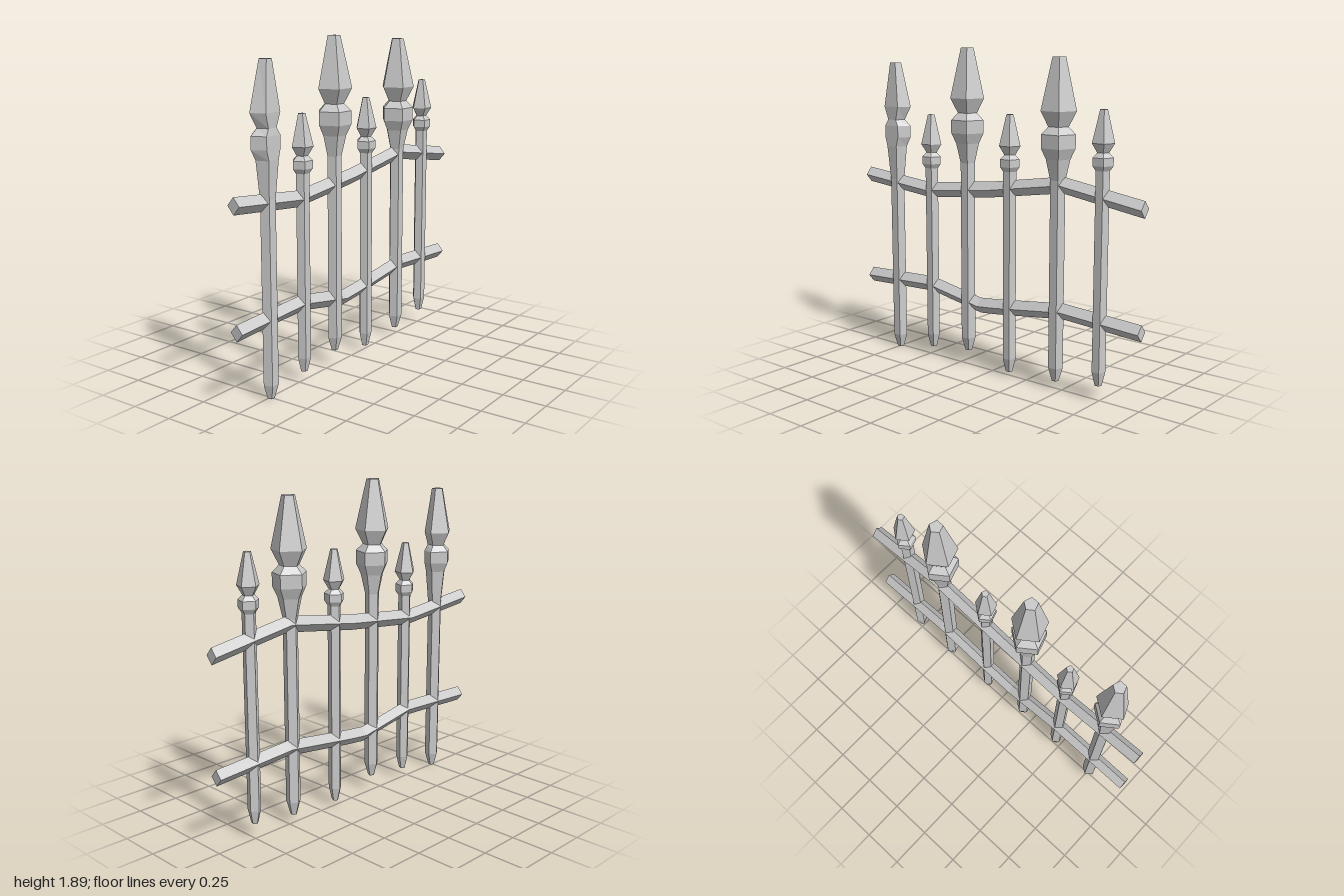
import * as THREE from 'three';

const material = new THREE.MeshStandardMaterial({ color: 0xcccccc, flatShading: true });
const SIDE = Math.sin(Math.PI * 0.4); // half-width of a unit pentagon

// Profiles: [half-width, distance below the top], listed upwards from the shaft
const tallHead = [[0.041, 0.66], [0.066, 0.545], [0.093, 0.485], [0.093, 0.41], [0.055, 0.37], [0.097, 0.285], [0.036, 0]];
const smallHead = [[0.037, 0.32], [0.055, 0.293], [0.055, 0.25], [0.031, 0.225], [0.06, 0.175], [0.02, 0]];

// Five-sided picket: pointed foot, straight shaft, turned bead and spearhead
function picket({ name, x, bottom, top, head, scale = 1, frontLimit = Infinity }) {
  const shaft = head[0][0];
  const profile = [
    [0, bottom], [0.019, bottom], [shaft, bottom + 0.08],
    ...head.map(([w, d], i) => [i === 0 ? w : w * scale, top - d * (i === 0 ? 1.06 / scale - 0.06 : scale)]),
    [0, top],
  ];
  const points = profile.map(([w, y]) => new THREE.Vector2(w / SIDE, y));
  const geometry = new THREE.LatheGeometry(points, 5, Math.PI);
  geometry.translate(x, 0, 0.008);
  // Flatten the front of a picket that is worn down
  const p = geometry.attributes.position;
  for (let i = 0; i < p.count; i++) p.setZ(i, Math.min(p.getZ(i), frontLimit));
  const mesh = new THREE.Mesh(geometry, material);
  mesh.name = name;
  return mesh;
}

// Crooked rail: diamond section carried along a path of [x, y] points
function rail(name, path) {
  const n = path.length - 1;
  const geometry = new THREE.CylinderGeometry(1, 1, 1, 4, n);
  geometry.rotateZ(Math.PI / 2);
  const p = geometry.attributes.position;
  for (let i = 0; i < p.count; i++) {
    const [x, y] = path[Math.round((p.getX(i) + 0.5) * n)];
    p.setXYZ(i, x, y + p.getY(i) * 0.046, p.getZ(i) * 0.039);
  }
  const mesh = new THREE.Mesh(geometry, material);
  mesh.name = name;
  return mesh;
}

export function createModel() {
  const group = new THREE.Group();
  group.name = 'fence';

  const pickets = [
    { x: -0.753, bottom: 0, top: 1.797, head: tallHead, scale: 0.93, frontLimit: 0.057 },
    { x: -0.465, bottom: 0.06, top: 1.497, head: smallHead },
    { x: -0.18, bottom: 0.096, top: 1.893, head: tallHead },
    { x: 0.13, bottom: 0.03, top: 1.53, head: smallHead },
    { x: 0.46, bottom: 0.05, top: 1.853, head: tallHead },
    { x: 0.745, bottom: 0.09, top: 1.59, head: smallHead },
  ];
  for (const spec of pickets) {
    group.add(picket({ name: spec.head === tallHead ? 'tallPicket' : 'shortPicket', ...spec }));
  }

  group.add(rail('upperRail', [[-1, 1.09], [-0.49, 1.04], [0, 1.092], [0.49, 1.167], [1, 1.09]]));
  group.add(rail('lowerRail', [[-1, 0.432], [-0.47, 0.455], [-0.09, 0.387], [0.04, 0.4], [0.5, 0.46], [1, 0.432]]));
  return group;
}
